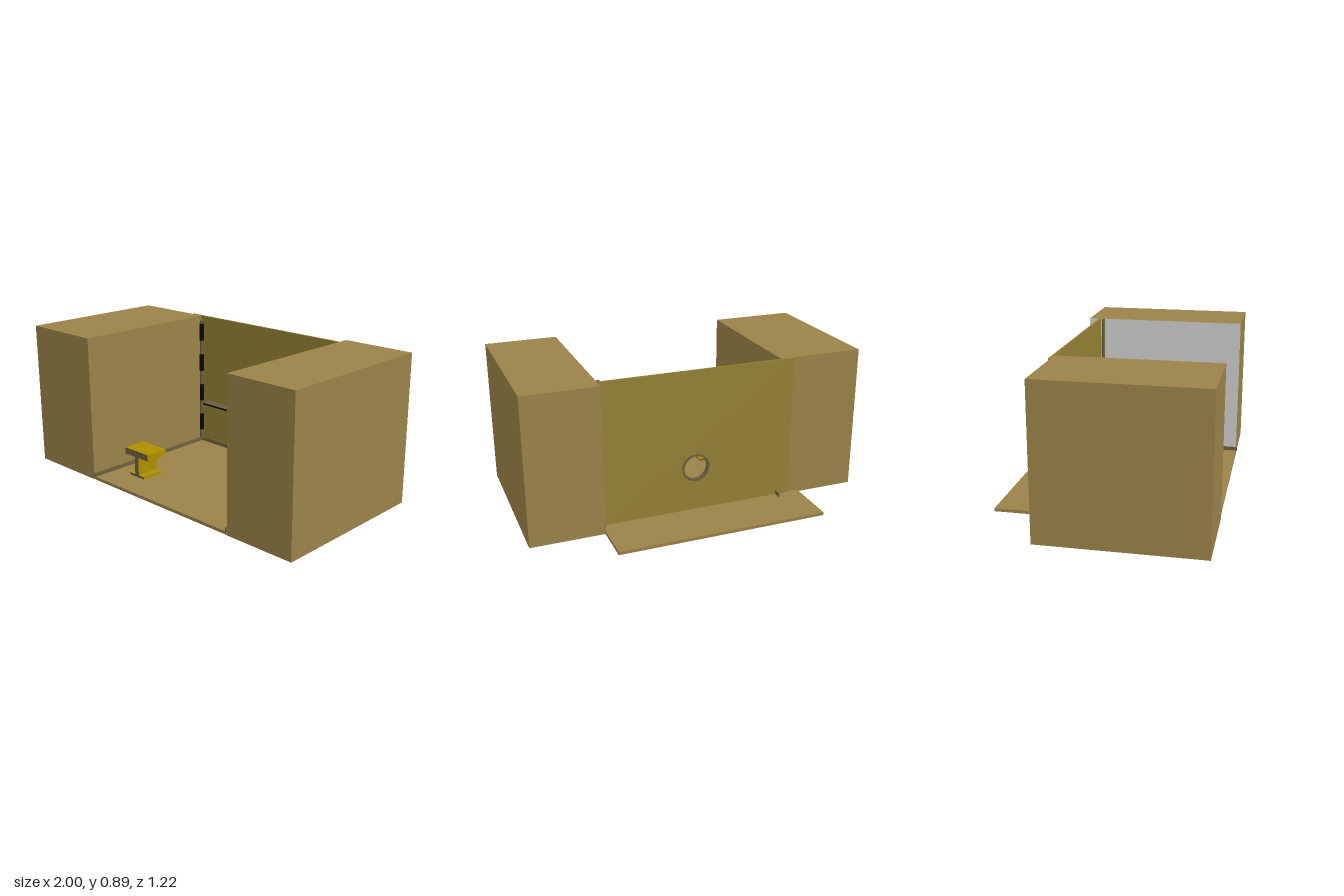
import * as THREE from 'three';

const mat = (color) => new THREE.MeshStandardMaterial({ color });
const olive = mat(0x9a8248), wallOlive = mat(0x948036), grey = mat(0xcccccc);
const brown = mat(0x6e6040), gold = mat(0xb09000), black = mat(0x080808);

export function createModel() {
  const model = new THREE.Group();

  const add = (name, geometry, material, parent = model) => {
    const mesh = new THREE.Mesh(geometry, material);
    mesh.name = name;
    parent.add(mesh);
    return mesh;
  };

  // Box given by its limits on each axis
  const box = (name, [x0, x1], [y0, y1], [z0, z1], material, parent) => {
    const mesh = add(name, new THREE.BoxGeometry(x1 - x0, y1 - y0, z1 - z0), material, parent);
    mesh.position.set((x0 + x1) / 2, (y0 + y1) / 2, (z0 + z1) / 2);
    return mesh;
  };

  // Side blocks; the one at +x has a grey inner face and a black underside
  box('rightBlock', [-1, -0.497], [0.036, 0.888], [-0.293, 0.608], olive);
  // Material order: +x, -x, +y, -y, +z, -z
  box('leftBlock', [0.576, 1], [0.031, 0.888], [-0.367, 0.601], [olive, grey, olive, black, olive, olive]);

  // Floor and the ledge that continues behind the wall
  box('floor', [-0.497, 0.576], [0.034, 0.052], [-0.3, 0.603], olive);
  box('backLedge', [-0.64, 0.58], [0.034, 0.052], [-0.613, -0.3], olive);

  // Back wall with a round window
  const wall = new THREE.Shape();
  wall.moveTo(-0.572, 0.05);
  wall.lineTo(0.575, 0.05);
  wall.lineTo(0.575, 0.889);
  wall.lineTo(-0.572, 0.889);
  const hole = new THREE.Path();
  hole.absarc(0.022, 0.312, 0.071, 0, Math.PI * 2, true);
  wall.holes.push(hole);
  const wallGeometry = new THREE.ExtrudeGeometry(wall, { depth: 0.012, bevelEnabled: false, curveSegments: 32 });
  add('backWall', wallGeometry, wallOlive).position.z = -0.306;

  // Window frame
  const ring = new THREE.Shape();
  ring.absarc(0, 0, 0.082, 0, Math.PI * 2);
  const opening = new THREE.Path();
  opening.absarc(0, 0, 0.07, 0, Math.PI * 2, true);
  ring.holes.push(opening);
  const ringGeometry = new THREE.ExtrudeGeometry(ring, { depth: 0.024, bevelEnabled: false, curveSegments: 32 });
  add('windowFrame', ringGeometry, brown).position.set(0.022, 0.312, -0.312);

  // Skirting boards
  box('rightSkirting', [-0.498, -0.489], [0.05, 0.075], [-0.347, 0.608], brown);
  box('leftSkirting', [0.569, 0.578], [0.05, 0.075], [-0.347, 0.608], brown);
  box('backSkirting', [-0.49, 0.57], [0.05, 0.075], [-0.296, -0.286], brown);

  // Corner pipe running down below the floor
  const pipe = add('cornerPipe', new THREE.CylinderGeometry(0.01, 0.01, 0.888, 12), brown);
  pipe.position.set(0.564, 0.444, -0.276);

  // Leaning strip with dark bands in the opposite corner
  const strip = new THREE.Group();
  strip.name = 'cornerStrip';
  strip.position.set(-0.487, 0.46, -0.283);
  strip.rotation.z = -0.012;
  model.add(strip);
  box('stripPost', [-0.006, 0.006], [-0.405, 0.4], [-0.01, 0.01], brown, strip);
  for (let i = 0; i < 4; i++) {
    const y = -0.33 + i * 0.2;
    box('stripBand', [-0.008, 0.008], [y, y + 0.11], [-0.011, 0.011], black, strip);
  }

  // Dark panel on the grey inner face
  box('sidePanel', [0.567, 0.577], [0.052, 0.38], [0.115, 0.37], black);

  // Wall shelf with a black front edge
  box('shelf', [-0.432, -0.128], [0.324, 0.335], [-0.296, -0.236], [brown, brown, brown, brown, black, brown]);

  // Stool: an I-shaped section drawn out along z
  const half = [[0.06, 0.052], [0.06, 0.066], [0.016, 0.066], [0.016, 0.175], [0.1, 0.175], [0.1, 0.214]];
  const mirrored = half.map(([x, y]) => [-x, y]).reverse();
  const section = new THREE.Shape([...half, ...mirrored].map(([x, y]) => new THREE.Vector2(x, y)));
  const stoolGeometry = new THREE.ExtrudeGeometry(section, { depth: 0.14, bevelEnabled: false });
  // Brown ends, gold sides
  const stool = add('stool', stoolGeometry, [brown, gold]);
  stool.position.set(-0.313, 0, 0.295);

  return model;
}
